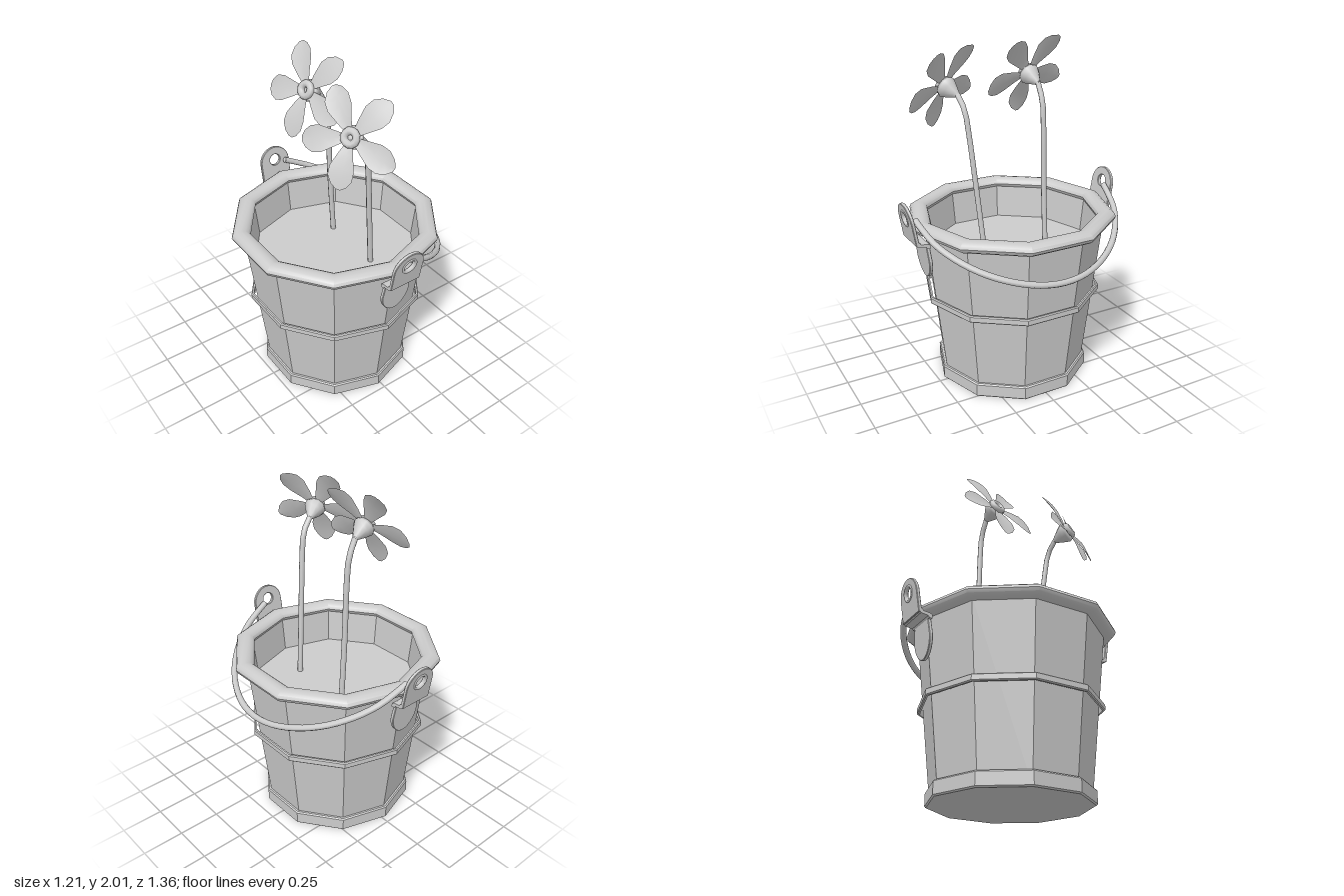
import * as THREE from 'three';
import { toCreasedNormals } from 'three/addons/utils/BufferGeometryUtils.js';

const SIDES = 10;
const grey = new THREE.MeshStandardMaterial({ color: 0xcccccc });
const thin = new THREE.MeshStandardMaterial({ color: 0xcccccc, side: THREE.DoubleSide });
const v3 = (p) => new THREE.Vector3(...p);

function add(parent, name, geometry, material = grey) {
  const mesh = new THREE.Mesh(geometry, material);
  mesh.name = name;
  parent.add(mesh);
  return mesh;
}

// Ten-sided turned part from [radius, height] points, sharp at the corners
function turned(points, sides = SIDES) {
  const profile = points.map(([r, y]) => new THREE.Vector2(r, y));
  return toCreasedNormals(new THREE.LatheGeometry(profile, sides), 0.6);
}

function tube(points, radius, segments, closedEnds = true) {
  const curve = new THREE.CatmullRomCurve3(points.map(v3));
  const group = new THREE.Group();
  add(group, 'rod', new THREE.TubeGeometry(curve, segments, radius, 8));
  if (closedEnds) {
    for (const t of [0, 1]) {
      const cap = add(group, 'rodEnd', new THREE.CircleGeometry(radius, 8));
      cap.position.copy(curve.getPoint(t));
      const out = curve.getTangent(t).multiplyScalar(t ? 1 : -1);
      cap.quaternion.setFromUnitVectors(new THREE.Vector3(0, 0, 1), out);
    }
  }
  return group;
}

function extrude(shape, depth) {
  return new THREE.ExtrudeGeometry(shape, {
    depth, curveSegments: 10, bevelEnabled: true,
    bevelThickness: 0.003, bevelSize: 0.003, bevelOffset: -0.003, bevelSegments: 1,
  });
}

// Eyelet plate, step and riveted tongue that hold one end of the handle
function createClip() {
  const clip = new THREE.Group();
  clip.name = 'handleClip';

  const plateShape = new THREE.Shape();
  plateShape.moveTo(-0.1, 0).lineTo(0.1, 0).lineTo(0.1, 0.13);
  plateShape.absarc(0, 0.13, 0.1, 0, Math.PI, false);
  plateShape.lineTo(-0.1, 0);
  const hole = new THREE.Path();
  hole.absarc(0, 0.145, 0.036, 0, Math.PI * 2, true);
  plateShape.holes.push(hole);

  const upper = new THREE.Group();
  upper.name = 'eyeletPlate';
  upper.position.set(0, 0.95, 0.625);
  upper.rotation.x = 0.17;
  add(upper, 'plate', extrude(plateShape, 0.014));
  const eyelet = add(upper, 'eyelet', new THREE.TorusGeometry(0.044, 0.009, 6, 16));
  eyelet.position.set(0, 0.145, 0.013);
  clip.add(upper);

  // Bent step between tongue and plate
  const step = new THREE.Shape();
  step.moveTo(0.56, 0.925).lineTo(0.578, 0.925).lineTo(0.585, 0.936).lineTo(0.628, 0.942);
  step.lineTo(0.64, 0.955).lineTo(0.638, 0.97).lineTo(0.622, 0.97).lineTo(0.615, 0.958);
  step.lineTo(0.575, 0.954).lineTo(0.56, 0.945);
  const bend = add(clip, 'clipStep',
    new THREE.ExtrudeGeometry(step, { depth: 0.2, bevelEnabled: false }));
  bend.rotation.y = -Math.PI / 2;
  bend.position.x = 0.1;

  const tongueShape = new THREE.Shape();
  tongueShape.moveTo(-0.08, 0).lineTo(-0.094, -0.1);
  tongueShape.bezierCurveTo(-0.094, -0.16, -0.05, -0.222, 0, -0.222);
  tongueShape.bezierCurveTo(0.05, -0.222, 0.094, -0.16, 0.094, -0.1);
  tongueShape.lineTo(0.08, 0);
  const tongue = add(clip, 'clipTongue', extrude(tongueShape, 0.015));
  tongue.position.set(0, 0.94, 0.562);
  tongue.rotation.x = 0.1;
  return clip;
}

// One cambered petal along +y, built from rows of three points
function petalGeometry() {
  const rows = [[0.03, 0.018], [0.09, 0.042], [0.16, 0.068], [0.21, 0.068], [0.25, 0.044], [0.272, 0.012]];
  const positions = [], index = [];
  rows.forEach(([r, w], i) => {
    const lift = 0.012 * Math.sin((r / 0.272) * Math.PI);
    for (const s of [-1, 0, 1]) positions.push(s * w, r, lift + Math.abs(s) * w * 0.15);
    if (i === 0) return;
    for (const k of [0, 1]) {
      const a = (i - 1) * 3 + k, b = i * 3 + k;
      index.push(a, a + 1, b + 1, a, b + 1, b);
    }
  });
  const g = new THREE.BufferGeometry();
  g.setAttribute('position', new THREE.Float32BufferAttribute(positions, 3));
  g.setIndex(index);
  g.computeVertexNormals();
  return g;
}

// Flower head facing along `facing`, with one petal pointing towards `petalDir`
function createFlowerHead(center, facing, petalDir) {
  const head = new THREE.Group();
  head.name = 'flowerHead';
  const z = v3(facing).normalize();
  const x = v3(petalDir).cross(z).normalize();
  const y = z.clone().cross(x);
  head.quaternion.setFromRotationMatrix(new THREE.Matrix4().makeBasis(x, y, z));
  head.position.set(...center);

  const petal = petalGeometry();
  for (let i = 0; i < 5; i++) {
    add(head, 'petal', petal, thin).rotation.z = (i * Math.PI * 2) / 5;
  }
  add(head, 'flowerCentre', new THREE.TorusGeometry(0.034, 0.021, 8, 12)).position.z = 0.015;
  const calyx = add(head, 'calyx', new THREE.LatheGeometry(
    [[0.014, -0.1], [0.026, -0.08], [0.05, -0.04], [0.063, -0.012], [0.055, 0.006], [0, 0.012]]
      .map(([r, h]) => new THREE.Vector2(r, h)), 10));
  calyx.rotation.x = Math.PI / 2;
  return head;
}

export function createModel() {
  const model = new THREE.Group();
  model.name = 'flowerBucket';

  const bucket = new THREE.Group();
  bucket.name = 'bucket';
  bucket.position.x = -0.02;
  model.add(bucket);

  // Tapered pail with its hoops and rolled rim
  add(bucket, 'pailWall', turned([[0, 0.005], [0.435, 0.005], [0.547, 1.0], [0.515, 1.0], [0.49, 0.77]]));
  add(bucket, 'baseHoop', turned([[0, 0], [0.455, 0], [0.463, 0.008], [0.463, 0.078], [0.456, 0.086], [0.435, 0.086]]));
  add(bucket, 'middleHoop', turned([[0.514, 0.525], [0.524, 0.525], [0.53, 0.531], [0.53, 0.56],
    [0.524, 0.566], [0.514, 0.566], [0.514, 0.525]]));
  const roll = [];
  for (let i = 0; i <= 12; i++) {
    const a = (i / 12) * Math.PI * 2;
    roll.push([0.56 + 0.055 * Math.cos(a), 1.005 + 0.036 * Math.sin(a)]);
  }
  add(bucket, 'rim', turned(roll));
  add(bucket, 'soil', turned([[0.495, 0.79], [0, 0.79]]));

  // Clips on front and back
  for (const turn of [0, Math.PI]) {
    const holder = new THREE.Group();
    holder.name = turn ? 'backClip' : 'frontClip';
    holder.rotation.y = turn;
    const clip = createClip();
    clip.position.x = 0.006;
    holder.add(clip);
    bucket.add(holder);
  }

  // Carrying handle, hanging down on the left side
  const half = [[0.03, 0.622], [0.1, 0.61], [0.2, 0.583], [0.31, 0.52], [0.42, 0.42], [0.51, 0.29], [0.57, 0.14]];
  const path = [...half, [0.588, 0], ...half.slice().reverse().map(([x, z]) => [x, -z])];
  const handle = tube(path.map(([x, z]) => [x, 1.085 - 0.505 * (x - 0.03), z]), 0.018, 40);
  handle.name = 'handle';
  model.add(handle);

  // Two flowers on bent stems
  const flowers = [
    {
      name: 'frontFlower', center: [-0.16, 1.76, 0.338], facing: [-1, 0.51, 0.52], petal: [-0.104, -0.242, 0.034],
      stem: [[0.08, 0.78, 0.22], [0.035, 1.2, 0.25], [0.002, 1.5, 0.272], [-0.025, 1.65, 0.285], [-0.082, 1.722, 0.298]],
    },
    {
      name: 'backFlower', center: [-0.09, 1.8, -0.15], facing: [-1, 0.51, 0.19], petal: [-0.116, -0.226, 0.004],
      stem: [[0.09, 0.78, -0.172], [0.066, 1.2, -0.17], [0.056, 1.5, -0.17], [0.04, 1.66, -0.17], [-0.006, 1.758, -0.166]],
    },
  ];
  for (const f of flowers) {
    const flower = new THREE.Group();
    flower.name = f.name;
    const stem = tube(f.stem, 0.016, 14, false);
    stem.name = 'stem';
    flower.add(stem, createFlowerHead(f.center, f.facing, f.petal));
    model.add(flower);
  }
  return model;
}
